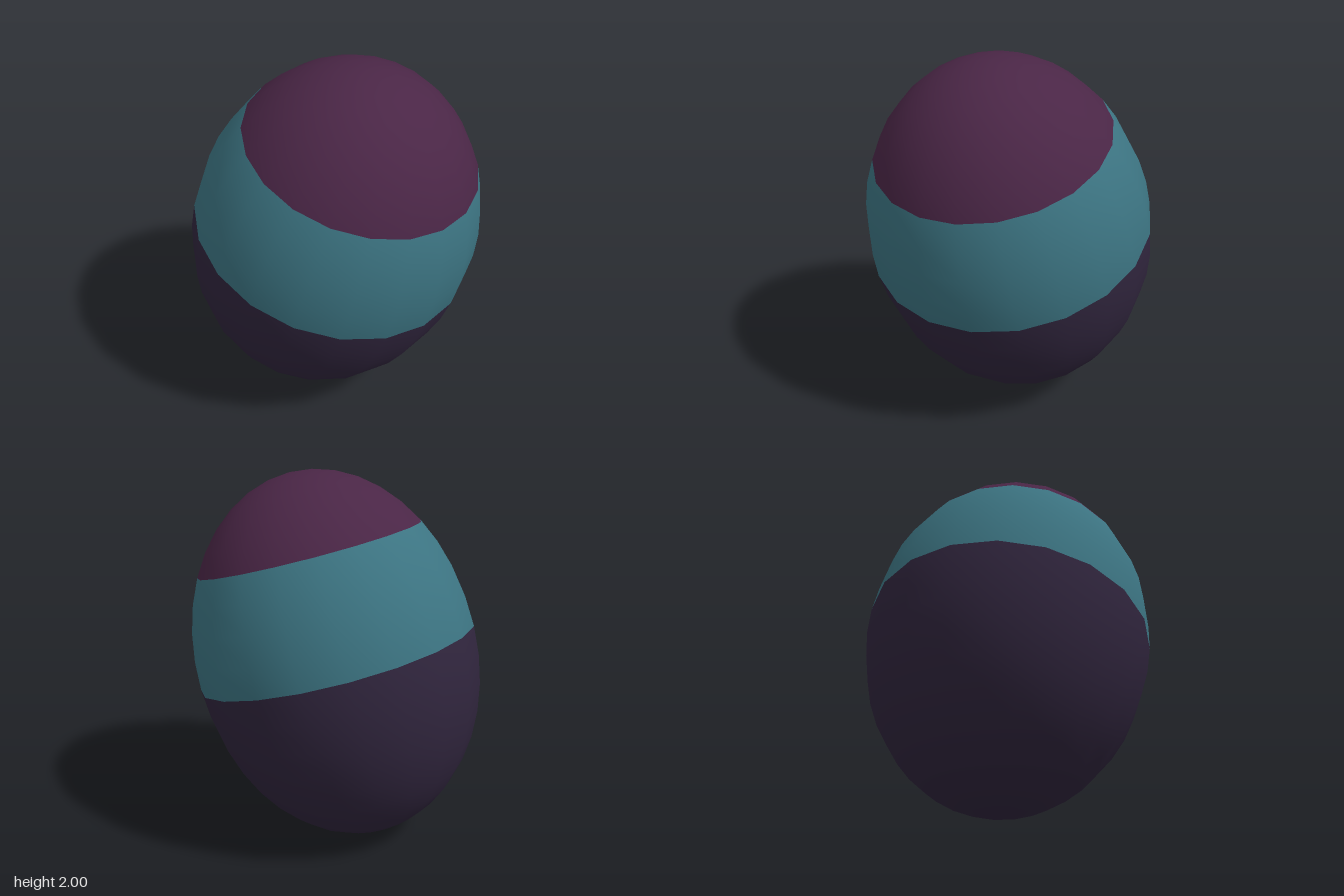
import * as THREE from 'three';

const SIDES = 20;      // sides around the long axis
const ROWS = 20;       // rows from tip to tip
const RADIUS = 0.772;  // half width
const HALF = 1.018;    // half length
const TILT = -0.2915;  // lean towards +x

// One painted band of the egg, between two rows counted from the top
function band(name, from, to, material) {
  const step = Math.PI / ROWS;
  const geometry = new THREE.SphereGeometry(
    1, SIDES, to - from, 0, Math.PI * 2, from * step, (to - from) * step
  );
  geometry.scale(RADIUS, HALF, RADIUS);
  const mesh = new THREE.Mesh(geometry, material);
  mesh.name = name;
  return mesh;
}

function paint(name, color) {
  const material = new THREE.MeshStandardMaterial({ color });
  material.name = name;
  return material;
}

export function createModel() {
  const model = new THREE.Group();
  model.name = 'egg';

  // Leaning shell made of three colour bands
  const shell = new THREE.Group();
  shell.name = 'shell';
  shell.position.y = 1;
  shell.rotation.z = TILT;
  shell.add(
    band('topCap', 0, 6, paint('plum', 0x4a2646)),
    band('middleBand', 6, 10, paint('teal', 0x3c7482)),
    band('lowerHalf', 10, 20, paint('dark violet', 0x30253d))
  );
  model.add(shell);
  return model;
}
